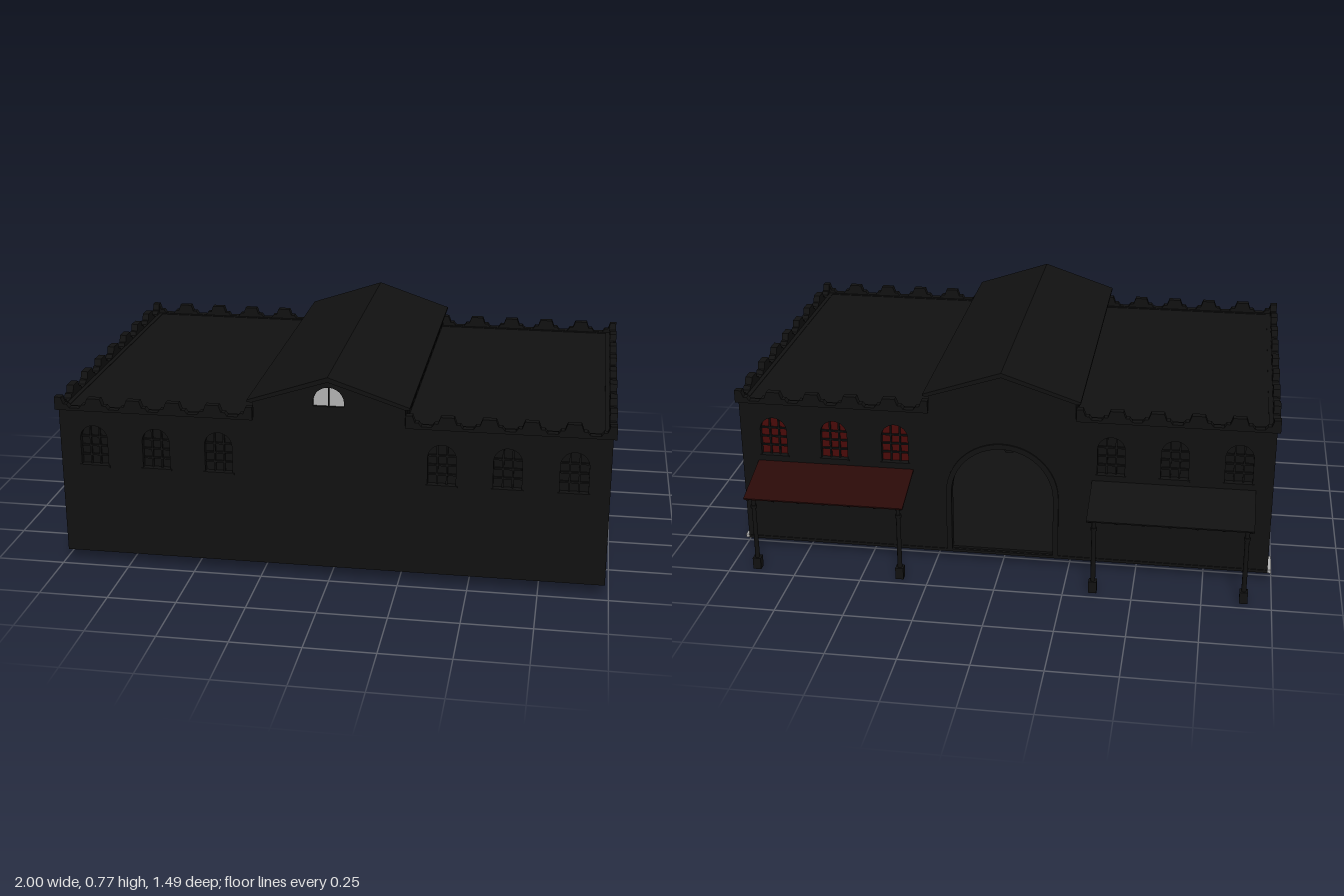
import * as THREE from 'three';

const BLACK = 0x111111, RED = 0x4a0a08, PALE = 0xb4b4b4;
const FRONT = 0.725, BACK = -0.54, SIDE = 0.985, BASE = 0.045, TOP = 0.605;
const mats = {};
const mat = (color) => (mats[color] ??= new THREE.MeshStandardMaterial({ color, side: THREE.DoubleSide }));

export function createModel() {
  const root = new THREE.Group();

  const add = (name, geo, color = BLACK, parent = root) => {
    const m = new THREE.Mesh(geo, mat(color));
    m.name = name;
    parent.add(m);
    return m;
  };
  // box given by its min and max corners
  const box = (name, x0, x1, y0, y1, z0, z1, color, parent) => {
    const m = add(name, new THREE.BoxGeometry(x1 - x0, y1 - y0, z1 - z0), color, parent);
    m.position.set((x0 + x1) / 2, (y0 + y1) / 2, (z0 + z1) / 2);
    return m;
  };
  const extrude = (shape, depth) =>
    new THREE.ExtrudeGeometry(shape, { depth, bevelEnabled: false, curveSegments: 12 });
  // round-headed outline: straight jambs with a half circle on top
  const arch = (Type, x, y, r, top) => {
    const p = new Type();
    p.moveTo(x - r, y);
    p.lineTo(x + r, y);
    p.lineTo(x + r, top - r);
    p.absarc(x, top - r, r, 0, Math.PI, false);
    p.lineTo(x - r, y);
    return p;
  };

  // End walls: side bays with a taller gabled bay in the middle
  const windowXs = [-0.86, -0.63, -0.4, 0.4, 0.63, 0.86];
  const endWall = (name, z0, door) => {
    const s = new THREE.Shape([
      [-SIDE, BASE], [SIDE, BASE], [SIDE, TOP], [0.27, TOP], [0.27, 0.67],
      [0, 0.76], [-0.27, 0.67], [-0.27, TOP], [-SIDE, TOP],
    ].map(([x, y]) => new THREE.Vector2(x, y)));
    for (const x of windowXs) s.holes.push(arch(THREE.Path, x, 0.39, 0.05, 0.54));
    if (door) s.holes.push(arch(THREE.Path, 0, BASE + 0.002, 0.19, 0.47));
    else s.holes.push(arch(THREE.Path, 0, 0.66, 0.055, 0.73));
    add(name, extrude(s, 0.03)).position.z = z0;
  };
  endWall('frontWall', FRONT - 0.03, false);
  endWall('backWall', BACK, true);

  // Side walls, floor, flat side roofs and raised walls under the main roof
  box('floor', -SIDE, SIDE, BASE, BASE + 0.01, BACK + 0.005, FRONT - 0.005);
  for (const s of [-1, 1]) {
    const span = (a, b) => (s > 0 ? [a, b] : [-b, -a]);
    box('sideWall', ...span(SIDE - 0.03, SIDE), BASE, TOP, BACK, FRONT);
    box('sideRoof', ...span(0.25, SIDE - 0.01), 0.59, 0.603, BACK + 0.01, FRONT - 0.01);
    box('clerestoryWall', ...span(0.25, 0.27), 0.6, 0.68, BACK, FRONT);
    for (let i = 0; i < 12; i++) {
      const z = BACK + 0.09 + i * 0.1;
      box('clerestoryPanel', ...span(0.27, 0.274), 0.62, 0.65, z - 0.03, z + 0.03);
    }
    box('cornerBlock', ...span(0.975, 0.998), 0.032, BASE, BACK, -0.43, PALE);
  }
  box('backSill', -SIDE, SIDE, 0.034, BASE, BACK - 0.003, BACK + 0.02);

  // Gabled main roof with a thin folded profile
  const roof = new THREE.Shape([
    [-0.288, 0.668], [-0.27, 0.668], [0, 0.755], [0.27, 0.668], [0.288, 0.668],
    [0.288, 0.676], [0, 0.773], [-0.288, 0.676],
  ].map(([x, y]) => new THREE.Vector2(x, y)));
  add('mainRoof', extrude(roof, 1.298)).position.z = -0.555;

  // Stepped parapet; runs along local x with raised ends
  const parapet = (length, count) => {
    const s = new THREE.Shape();
    const step = length / count;
    s.moveTo(0, 0.597);
    s.lineTo(0, 0.645);
    for (let i = 0; i < count; i++) {
      const x = i * step;
      const k = step / 0.16;
      for (const [dx, y] of [[0.026, 0.645], [0.036, 0.62], [0.05, 0.62], [0.06, 0.607],
        [0.1, 0.607], [0.11, 0.62], [0.124, 0.62], [0.134, 0.645]]) s.lineTo(x + dx * k, y);
    }
    s.lineTo(length, 0.645);
    s.lineTo(length, 0.597);
    return extrude(s, 0.026);
  };
  for (const z of [FRONT - 0.018, BACK - 0.006]) {
    for (const x of [-0.997, 0.272]) add('endParapet', parapet(0.725, 5)).position.set(x, 0, z);
  }
  for (const x of [-0.997, 0.971]) {
    const p = add('sideParapet', parapet(FRONT - BACK + 0.01, 8));
    p.rotation.y = -Math.PI / 2;
    p.position.set(x + 0.026, 0, BACK - 0.005);
  }

  // Arched windows: recessed pane, glazing bars and sill
  const addWindow = (x, z, out, color) => {
    const g = new THREE.Group();
    g.name = 'archedWindow';
    const pane = add('windowPane', new THREE.ShapeGeometry(arch(THREE.Shape, 0, 0.39, 0.05, 0.54)), color, g);
    pane.position.z = -0.02;
    for (const bx of [-0.017, 0.017]) box('glazingBar', bx - 0.003, bx + 0.003, 0.39, 0.535, -0.02, -0.012, BLACK, g);
    for (const by of [0.425, 0.46, 0.495]) box('glazingBar', -0.049, 0.049, by - 0.003, by + 0.003, -0.02, -0.012, BLACK, g);
    box('windowSill', -0.056, 0.056, 0.382, 0.39, -0.01, 0.004, BLACK, g);
    g.position.set(x, 0, z);
    g.rotation.y = out > 0 ? 0 : Math.PI;
    root.add(g);
  };
  for (const x of windowXs) {
    addWindow(x, FRONT, 1, BLACK);
    addWindow(x, BACK, -1, x > 0 ? RED : BLACK);
  }

  // Half-round gable light with a centre bar
  const fan = add('gableWindow', new THREE.ShapeGeometry(arch(THREE.Shape, 0, 0.66, 0.055, 0.73)), PALE);
  fan.position.z = FRONT - 0.01;
  box('gableBar', -0.002, 0.002, 0.66, 0.73, FRONT - 0.01, FRONT - 0.005);

  // Raised surround of the open back doorway, and a lamp inside
  const surround = arch(THREE.Shape, 0, BASE, 0.21, 0.49);
  surround.holes.push(arch(THREE.Path, 0, BASE + 0.001, 0.19, 0.47));
  add('doorSurround', extrude(surround, 0.008)).position.z = BACK - 0.006;
  const lamp = add('hangingLamp', new THREE.CylinderGeometry(0.012, 0.02, 0.05, 8));
  lamp.position.set(0, 0.4, -0.35);
  box('lampRod', -0.003, 0.003, 0.42, 0.755, -0.353, -0.347);

  // Two lean-to canopies on posts
  for (const s of [-1, 1]) {
    const g = new THREE.Group();
    g.name = 'canopy';
    root.add(g);
    const slope = new THREE.Group();
    slope.name = 'canopyRoof';
    slope.position.set(s * 0.628, 0.331, -0.64);
    slope.rotation.x = -Math.atan2(0.06, 0.2);
    g.add(slope);
    box('canopySheet', -0.296, 0.296, -0.002, 0.004, -0.107, 0.107, s > 0 ? 0x2a0a08 : BLACK, slope);
    for (let i = 0; i < 7; i++) {
      const x = -0.285 + i * 0.095;
      box('rafter', x - 0.005, x + 0.005, -0.012, -0.002, -0.1, 0.104, BLACK, slope);
    }
    for (const z of [-0.03, 0.04]) box('purlin', -0.29, 0.29, -0.01, -0.002, z - 0.004, z + 0.004, BLACK, slope);
    box('canopyBeam', s * 0.628 - 0.29, s * 0.628 + 0.29, 0.288, 0.302, -0.713, -0.697, BLACK, g);
    for (const x of [0.357, 0.9]) {
      const px = s * x;
      const post = add('post', new THREE.CylinderGeometry(0.008, 0.009, 0.26, 8), BLACK, g);
      post.position.set(px, 0.17, -0.705);
      const collar = add('postCollar', new THREE.CylinderGeometry(0.012, 0.012, 0.012, 8), BLACK, g);
      collar.position.set(px, 0.255, -0.705);
      box('postBase', px - 0.015, px + 0.015, 0, 0.045, -0.72, -0.69, BLACK, g);
    }
  }
  return root;
}
